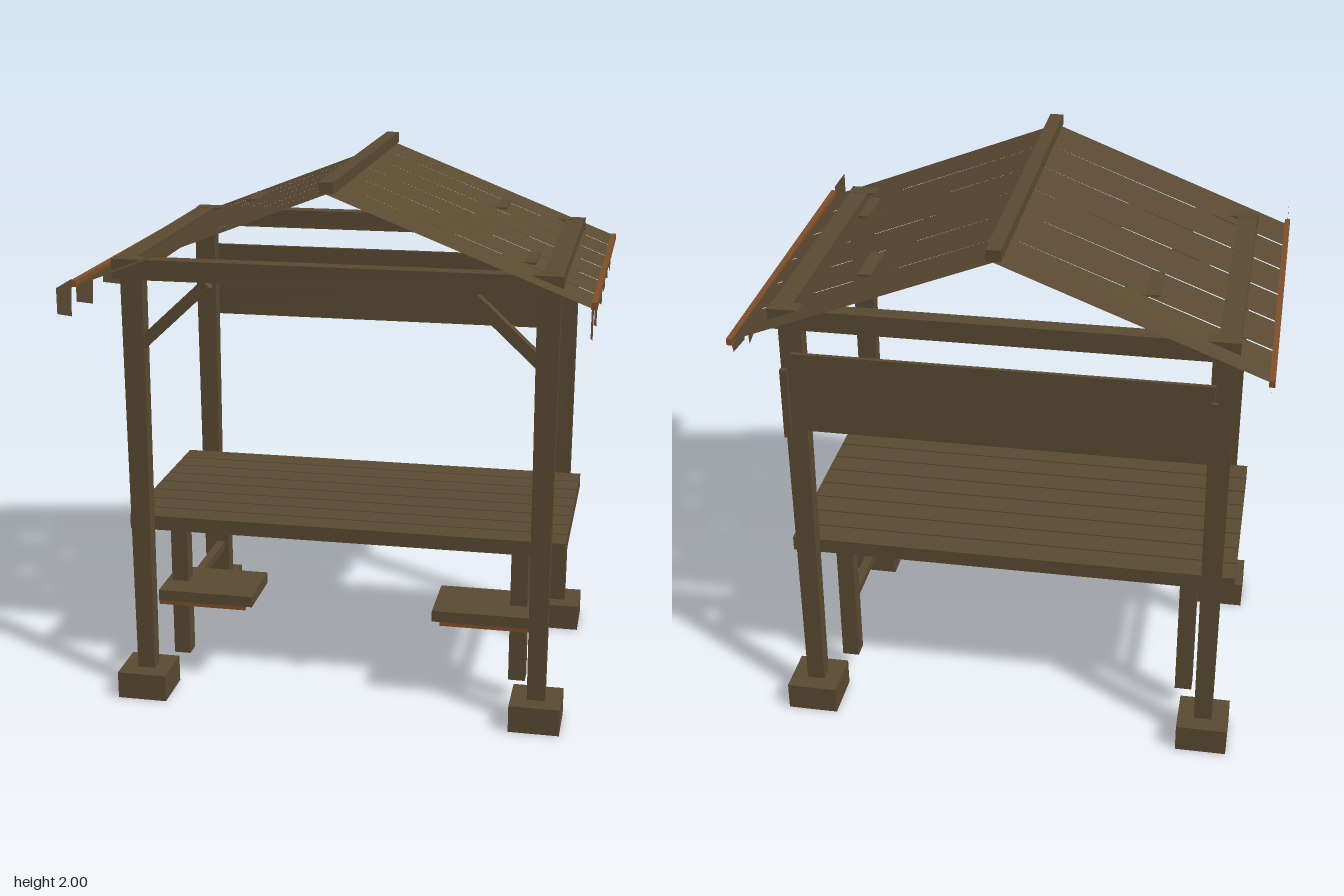
import * as THREE from 'three';

const wood = new THREE.MeshStandardMaterial({ color: 0x5a4a32 });
wood.name = 'weathered wood';
const thinWood = new THREE.MeshStandardMaterial({ color: 0x5a4a32, side: THREE.DoubleSide });
thinWood.name = 'thin weathered wood';
const edgeWood = new THREE.MeshStandardMaterial({ color: 0x80502a });
edgeWood.name = 'orange edge wood';

// Box from its minimum and maximum corners
function box(parent, name, [x0, y0, z0], [x1, y1, z1], mat = wood) {
  const mesh = new THREE.Mesh(new THREE.BoxGeometry(x1 - x0, y1 - y0, z1 - z0), mat);
  mesh.position.set((x0 + x1) / 2, (y0 + y1) / 2, (z0 + z1) / 2);
  mesh.name = name;
  parent.add(mesh);
  return mesh;
}

// Box mirrored to the other side: x0..x1 on +x becomes -x1..-x0
function sideBox(parent, s, name, [x0, y0, z0], [x1, y1, z1], mat) {
  const a = Math.min(s * x0, s * x1), b = Math.max(s * x0, s * x1);
  return box(parent, name, [a, y0, z0], [b, y1, z1], mat);
}

// Thin four-cornered sheet
function sheet(parent, name, corners) {
  const geo = new THREE.BufferGeometry();
  geo.setAttribute('position', new THREE.Float32BufferAttribute(corners.flat(), 3));
  geo.setIndex([0, 1, 2, 0, 2, 3]);
  geo.computeVertexNormals();
  const mesh = new THREE.Mesh(geo, thinWood);
  mesh.name = name;
  parent.add(mesh);
}

// Post whose top is wider than its foot
function post(parent, s, z) {
  const geo = new THREE.BoxGeometry(0.065, 1.54, 0.058);
  const p = geo.attributes.position;
  for (let i = 0; i < p.count; i++) if (p.getY(i) > 0) p.setX(i, p.getX(i) * 1.25);
  geo.computeVertexNormals();
  const mesh = new THREE.Mesh(geo, wood);
  mesh.position.set(s * 0.74, 0.86, z);
  mesh.name = 'post';
  parent.add(mesh);
}

// Hanging slats: z start, z end, top, low start, low end
const SLATS = [
  [0.74, 0.59, 1.64, 1.55, 1.51], [0.55, 0.37, 1.61, 1.55, 1.505], [0.27, 0.04, 1.605, 1.56, 1.505],
  [-0.01, -0.155, 1.605, 1.535, 1.525], [-0.2, -0.35, 1.605, 1.55, 1.52],
  [-0.39, -0.56, 1.6, 1.555, 1.5], [-0.59, -0.72, 1.595, 1.54, 1.55],
];

function buildRoof(model) {
  const roof = new THREE.Group();
  roof.name = 'roof';
  box(roof, 'ridgeBeam', [-0.025, 1.96, -0.735], [0.025, 2, 0.575]);
  const count = 6, step = 1.318 / count;
  for (const s of [-1, 1]) {
    // Planks running from ridge to eave, with narrow tapering gaps
    for (let i = 0; i < count; i++) {
      const z0 = 0.577 - i * step, z1 = z0 - step;
      const gap = i < count - 1 ? (s < 0 ? 0.01 : 0.006) : 0;
      const ridge = [[0, 1.96, z0], [0, 1.96, z1]];
      const eave = [[s * 0.91, 1.605, z1 + gap], [s * 0.91, 1.605, z0]];
      const c = [...ridge, ...eave];
      sheet(roof, 'roofPlank', s > 0 ? c.reverse() : c);
    }
    const strip = sideBox(roof, s, 'eaveStrip', [0.89, 1.6, -0.74], [0.91, 1.623, 0.577], edgeWood);
    strip.rotation.x = -0.012;
    for (const [a, b, top, la, lb] of SLATS) {
      sheet(roof, 'hangingSlat', [
        [s * 0.9, top, a], [s * 0.9, la, a], [s * 0.9, lb, b + 0.015], [s * 0.9, top, b],
      ]);
    }
    // Loose shingle lying on the slope
    sideBox(roof, s, 'looseShingle', [0.39, 1.771, -0.51], [0.51, 1.779, -0.32]);
  }
  box(roof, 'looseShingle', [0.57, 1.701, 0.15], [0.685, 1.709, 0.34]);
  model.add(roof);
}

function buildFrame(model) {
  const frame = new THREE.Group();
  frame.name = 'frame';
  for (const s of [-1, 1]) {
    for (const z of [0.397, -0.555]) {
      post(frame, s, z);
      sideBox(frame, s, 'footing', [0.647, 0, z - 0.093], [0.833, 0.103, z + 0.093]);
    }
    sideBox(frame, s, 'sideBeam', [0.717, 1.62, -0.59], [0.789, 1.692, 0.42]);
    // Diagonal brace below the front beam
    const brace = new THREE.Mesh(new THREE.BoxGeometry(0.34, 0.042, 0.045), wood);
    brace.position.set(s * 0.592, 1.485, 0.397);
    brace.rotation.z = -s * 0.75;
    brace.name = 'brace';
    frame.add(brace);
  }
  box(frame, 'frontBeam', [-0.792, 1.62, 0.42], [0.792, 1.693, 0.48]);
  box(frame, 'backBeam', [-0.792, 1.62, -0.648], [0.792, 1.693, -0.588]);
  model.add(frame);
}

function buildBackBoard(model) {
  const board = new THREE.Group();
  board.name = 'backBoard';
  box(board, 'panel', [-0.72, 1.237, -0.655], [0.72, 1.532, -0.64]);
  for (const s of [-1, 1]) {
    const end = new THREE.Mesh(new THREE.PlaneGeometry(0.075, 0.295), wood);
    end.position.set(s * 0.72, 1.3845, -0.678);
    end.rotation.y = s * Math.PI / 2;
    end.name = 'panelEnd';
    board.add(end);
    sideBox(board, s, 'panelBatten', [0.71, 1.252, -0.737], [0.735, 1.512, -0.722]);
  }
  model.add(board);
}

function buildTable(model) {
  const table = new THREE.Group();
  table.name = 'table';
  for (let i = 0; i < 8; i++) {
    const z = 0.309 - i * 0.1005;
    box(table, 'tablePlank', [-0.82, 0.62, z - 0.094], [0.82, 0.675, z]);
  }
  for (const s of [-1, 1]) {
    for (const z of [0.213, -0.371]) {
      sideBox(table, s, 'tableLeg', [0.62, 0.09, z - 0.032], [0.683, 0.62, z + 0.032]);
    }
    sideBox(table, s, 'crossbar', [0.635, 0.3, -0.34], [0.668, 0.333, 0.182]);
    // Low shelf with an edge strip underneath
    sideBox(table, s, 'lowShelf', [0.342, 0.35, 0.102], [0.705, 0.392, 0.35]);
    sideBox(table, s, 'shelfStrip', [0.37, 0.333, 0.33], [0.705, 0.35, 0.345], edgeWood);
  }
  model.add(table);
}

export function createModel() {
  const model = new THREE.Group();
  model.name = 'marketStall';
  buildRoof(model);
  buildFrame(model);
  buildBackBoard(model);
  buildTable(model);
  return model;
}
